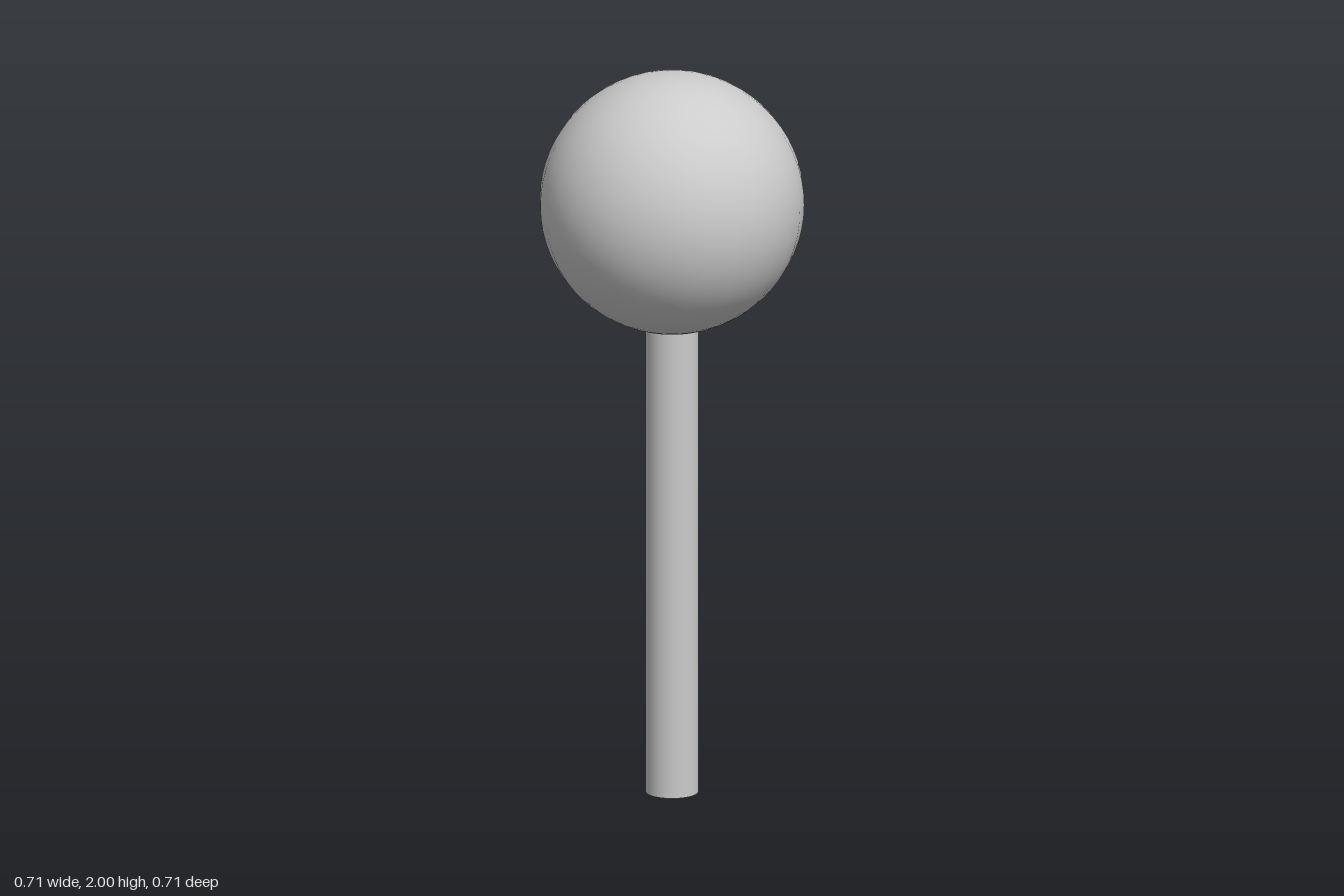
import * as THREE from 'three';

const RADIUS = 0.356;
const STICK_RADIUS = 0.071;

export function createModel() {
  const group = new THREE.Group();
  const material = new THREE.MeshStandardMaterial({ color: 0xcccccc });

  const add = (name, geometry, y) => {
    const mesh = new THREE.Mesh(geometry, material);
    mesh.name = name;
    mesh.position.y = y;
    group.add(mesh);
  };

  // Round head
  add('head', new THREE.SphereGeometry(RADIUS, 32, 32), 2 - RADIUS);

  // Straight stick, ending just inside the head
  const height = 2 - 2 * RADIUS + 0.02;
  add('stick', new THREE.CylinderGeometry(STICK_RADIUS, STICK_RADIUS, height, 32), height / 2);

  return group;
}
